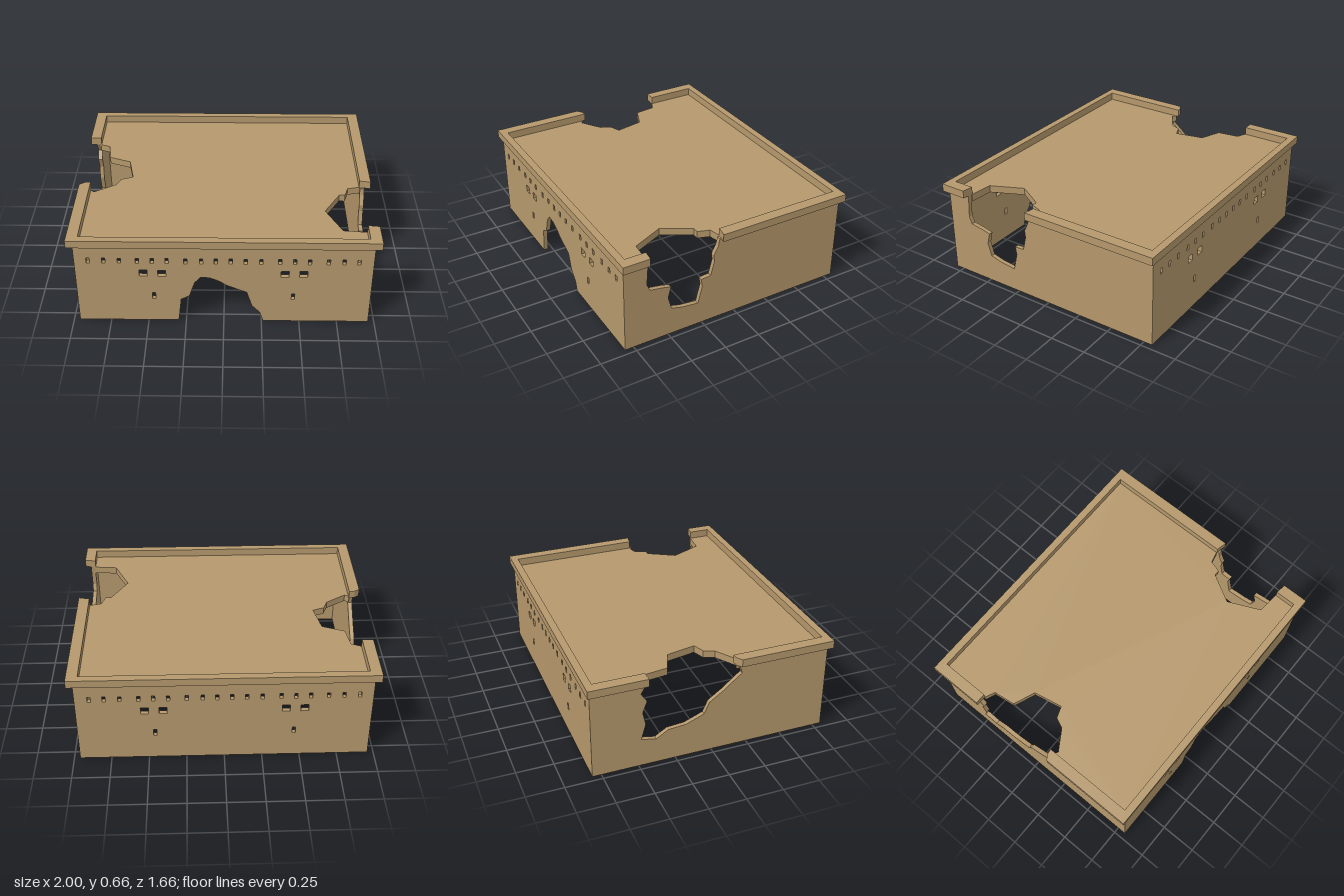
import * as THREE from 'three';

const material = new THREE.MeshStandardMaterial({ color: 0xb5986c, flatShading: true, side: THREE.DoubleSide });
const TOP = 0.61, T = 0.03, X = 0.96, Z = 0.81; // wall top, thickness, outer half sizes

const toVectors = (points) => points.map(([a, b]) => new THREE.Vector2(a, b));

function extrude(points, depth, holes = []) {
  const shape = new THREE.Shape(toVectors(points));
  for (const h of holes) shape.holes.push(new THREE.Path(toVectors(h)));
  return new THREE.ExtrudeGeometry(shape, { depth, bevelEnabled: false });
}

// Horizontal slab from [x, z] points
const slab = (points, y0, y1) =>
  extrude(points.map(([x, z]) => [x, -z]), y1 - y0).rotateX(-Math.PI / 2).translate(0, y0, 0);

const rect = (x, y, w, h) => [
  [x - w / 2, y - h / 2], [x - w / 2, y + h / 2], [x + w / 2, y + h / 2], [x + w / 2, y - h / 2],
];

export function createModel() {
  const group = new THREE.Group();
  const add = (name, geometry) => {
    const mesh = new THREE.Mesh(geometry, material);
    mesh.name = name;
    group.add(mesh);
  };

  // Windows shared by the front and back walls
  const slits = [-0.87, -0.77, -0.67, -0.555, -0.46, -0.365, -0.245, -0.145, -0.05,
    0.045, 0.14, 0.24, 0.36, 0.455, 0.55, 0.67, 0.77, 0.865];
  const windows = [
    ...slits.map((x) => rect(x, 0.497, 0.022, 0.04)),
    ...[-0.52, -0.4, 0.395, 0.515].map((x) => rect(x, 0.397, 0.052, 0.05)),
    ...[-0.457, 0.453].map((x) => rect(x, 0.21, 0.022, 0.05)),
  ];

  // Front wall with the broken archway, back wall whole
  const arch = [[-0.3, 0], [-0.28, 0.18], [-0.225, 0.21], [-0.19, 0.32], [-0.15, 0.367], [-0.09, 0.362],
    [-0.03, 0.335], [0.02, 0.3], [0.15, 0.243], [0.185, 0.13], [0.24, 0.07], [0.26, 0]];
  add('frontWall', extrude([[-X, 0], ...arch, [X, 0], [X, TOP], [-X, TOP]], T, windows).translate(0, 0, Z - T));
  add('backWall', extrude([[-X, 0], [X, 0], [X, TOP], [-X, TOP]], T, windows).translate(0, 0, -Z));

  // Side walls, each breached from the top; breach points are [z, y] from front to back
  const leftBreach = [[0.64, TOP], [0.65, 0.45], [0.63, 0.4], [0.54, 0.385], [0.48, 0.37], [0.5, 0.29],
    [0.475, 0.2], [0.4, 0.18], [0.28, 0.165], [0.25, 0.29], [0.26, 0.345], [0.19, 0.35],
    [0.165, 0.45], [0.17, 0.5], [0.14, 0.56], [0.13, TOP]];
  const rightBreach = [[0.18, TOP], [0.2, 0.54], [0.15, 0.5], [0.08, 0.44], [-0.02, 0.37], [-0.055, 0.29],
    [-0.18, 0.24], [-0.3, 0.23], [-0.38, 0.18], [-0.48, 0.2], [-0.45, 0.31], [-0.47, 0.4],
    [-0.44, 0.48], [-0.48, 0.54], [-0.44, TOP]];
  const sideWall = (breach) => {
    const e = Z - T;
    return extrude([[-e, 0], [e, 0], [e, TOP], ...breach, [-e, TOP]], T).rotateY(-Math.PI / 2);
  };
  add('leftWall', sideWall(leftBreach).translate(X, 0, 0));
  add('rightWall', sideWall(rightBreach).translate(T - X, 0, 0));

  // Roof slab, bitten into on both sides
  const rx = X - T, rz = Z - T;
  add('roof', slab([
    [-rx, rz], [rx, rz],
    [rx, 0.635], [0.77, 0.62], [0.67, 0.4], [0.78, 0.21], [0.82, 0.21], [0.845, 0.13], [rx, 0.11],
    [rx, -rz], [-rx, -rz],
    [-rx, -0.44], [-0.86, -0.41], [-0.84, -0.26], [-0.69, -0.2], [-0.65, 0], [-0.73, 0.03],
    [-0.76, 0.1], [-0.9, 0.19], [-rx, 0.17],
  ], 0.56, TOP));

  // Overhanging parapet in two pieces, with ragged ends at the breaches
  const px = 0.925, pz = 0.78, ox = 1, oz = 0.83, H = 0.664;
  add('frontParapet', slab([
    [-ox, 0.18], [-0.965, 0.155], [-px, 0.15], [-px, pz], [px, pz], [px, 0.635], [ox, 0.645],
    [ox, oz], [-ox, oz],
  ], TOP, H));
  add('backParapet', slab([
    [-ox, -0.44], [-px, -0.44], [-px, -pz], [px, -pz], [px, 0.115], [0.96, 0.12], [ox, 0.13],
    [ox, -oz], [-ox, -oz],
  ], TOP, H));

  return group;
}
